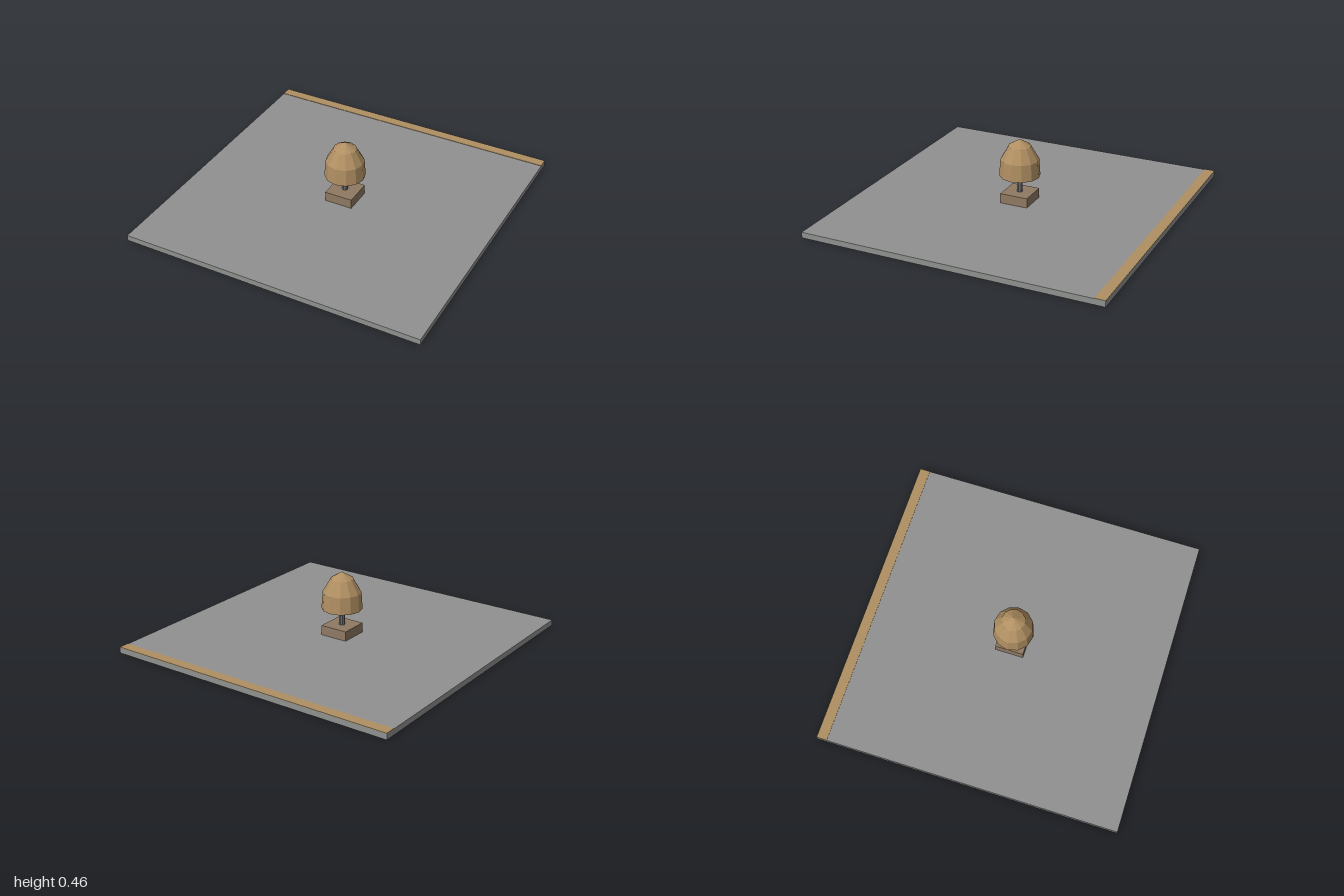
import * as THREE from 'three';

export function createModel() {
  const model = new THREE.Group();
  const material = (name, color, flat = false) => {
    const m = new THREE.MeshStandardMaterial({ color, flatShading: flat });
    m.name = name;
    return m;
  };
  const stone = material('grey stone', 0x8f918f);
  const tan = material('tan', 0xb08f62, true);
  const wood = material('brown wood', 0x8f7963);
  const metal = material('dark metal', 0x6c6d70, true);

  const add = (name, geometry, mat, y, z = 0) => {
    const mesh = new THREE.Mesh(geometry, mat);
    mesh.name = name;
    mesh.position.set(0, y, z);
    model.add(mesh);
    return mesh;
  };

  // Ground slab with a thin strip along the back edge
  add('slab', new THREE.BoxGeometry(2, 0.038, 1.984), stone, 0.019);
  add('backStrip', new THREE.BoxGeometry(2, 0.004, 0.068), tan, 0.039, -0.958);

  // Square plinth and post
  add('plinth', new THREE.BoxGeometry(0.188, 0.064, 0.188), wood, 0.07);
  add('post', new THREE.CylinderGeometry(0.019, 0.019, 0.14, 8), metal, 0.165);

  // Faceted dome: closed underside, nearly upright skirt, sloping shoulder
  const dome = [[0, 0.214], [0.132, 0.214], [0.124, 0.325], [0.07, 0.418], [0, 0.418]]
    .map(([r, y]) => new THREE.Vector2(r, y));
  add('dome', new THREE.LatheGeometry(dome, 12), tan, 0);

  // Pointed cap
  add('cap', new THREE.ConeGeometry(0.075, 0.045, 12), tan, 0.4375);

  return model;
}
